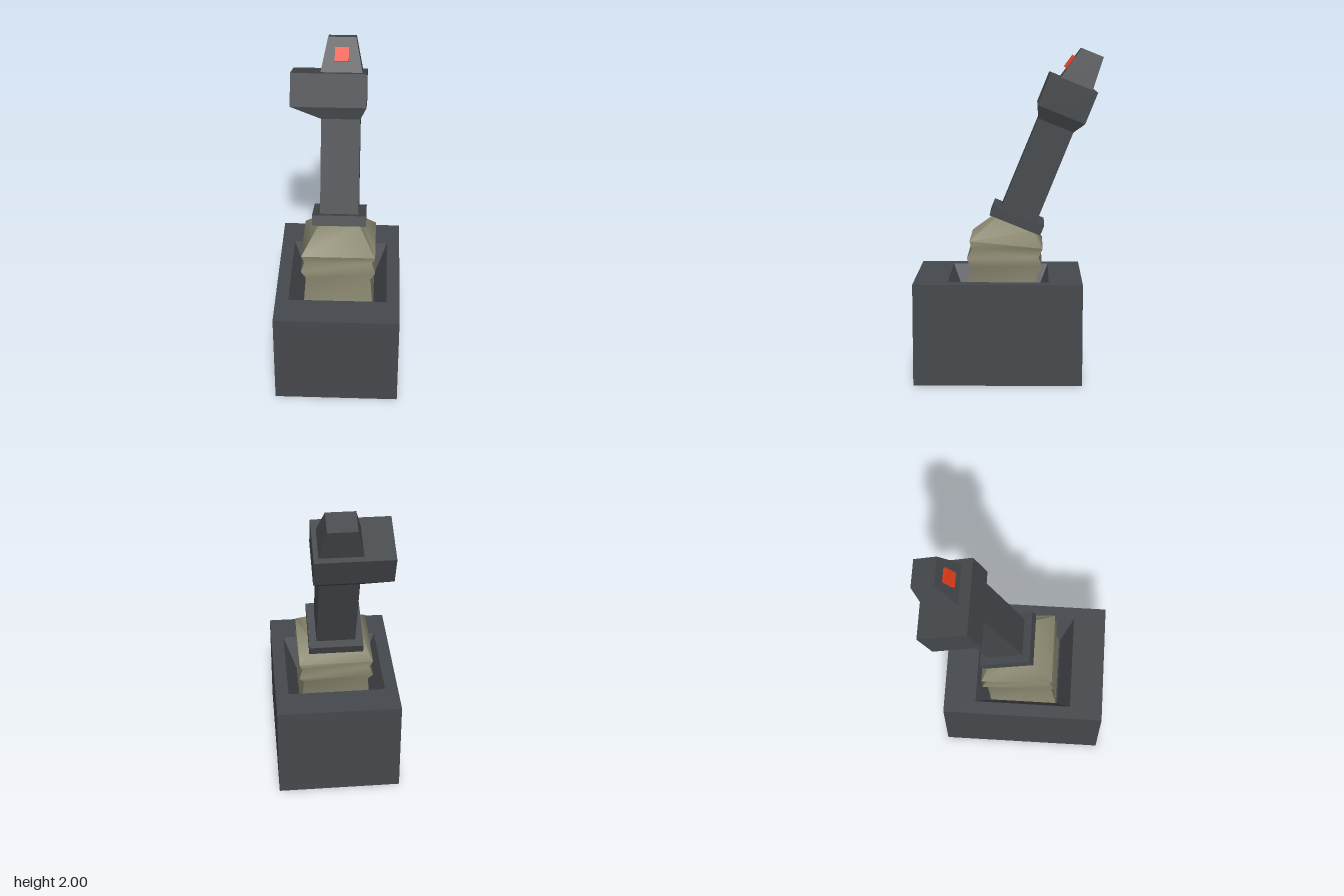
import * as THREE from 'three';
import { toCreasedNormals } from 'three/addons/utils/BufferGeometryUtils.js';

const material = (color) => new THREE.MeshStandardMaterial({ color });

// Lofts rectangular sections [x0, x1, zBack, zFront, yFront, yBack] listed from bottom to top.
function loft(sections, crease = 0.2) {
  const pos = [], idx = [];
  for (const [x0, x1, z0, z1, yf, yb = yf] of sections) {
    pos.push(x0, yf, z1, x1, yf, z1, x1, yb, z0, x0, yb, z0);
  }
  for (let s = 0; s < sections.length - 1; s++) {
    for (let i = 0; i < 4; i++) {
      const a = s * 4 + i, b = s * 4 + (i + 1) % 4;
      idx.push(a, b, b + 4, a, b + 4, a + 4);
    }
  }
  const t = (sections.length - 1) * 4;
  idx.push(0, 2, 1, 0, 3, 2, t, t + 1, t + 2, t, t + 2, t + 3);
  const geo = new THREE.BufferGeometry();
  geo.setAttribute('position', new THREE.Float32BufferAttribute(pos, 3));
  geo.setIndex(idx);
  return toCreasedNormals(geo, crease);
}

export function createModel() {
  const model = new THREE.Group();
  const dark = material(0x45484c);
  const olive = material(0x8c8a72);
  const red = material(0xe63c1c);

  const add = (parent, name, geo, mat) => {
    const mesh = new THREE.Mesh(geo, mat);
    mesh.name = name;
    parent.add(mesh);
    return mesh;
  };

  // Base block with a tapered well in its top
  add(model, 'base', loft([
    [-0.38, 0.38, -0.44, 0.57, 0],
    [-0.38, 0.38, -0.44, 0.57, 0.615],
    [-0.30, 0.30, -0.24, 0.365, 0.615],
    [-0.22, 0.22, -0.16, 0.285, 0.415],
  ]), dark);

  // Pleated boot rising out of the well and leaning with the stick
  add(model, 'boot', loft([
    [-0.22, 0.22, -0.145, 0.275, 0.415],
    [-0.20, 0.20, -0.17, 0.235, 0.685, 0.65],
    [-0.228, 0.228, -0.198, 0.253, 0.745, 0.70],
    [-0.208, 0.208, -0.178, 0.225, 0.80, 0.75],
    [-0.226, 0.226, -0.203, 0.238, 0.85, 0.805],
    [-0.12, 0.12, -0.145, 0.07, 0.985, 0.898],
  ], 1.1), olive);

  // Everything on the stick shares one tilted frame
  const stick = new THREE.Group();
  stick.name = 'stick';
  stick.position.set(0, 0.9375, -0.035);
  stick.rotation.x = THREE.MathUtils.degToRad(-22);
  model.add(stick);

  const flange = add(stick, 'flange', new THREE.BoxGeometry(0.33, 0.065, 0.33), dark);
  flange.position.y = 0.0325;

  // Shaft flaring into the lopsided head
  add(stick, 'grip', loft([
    [-0.118, 0.118, -0.116, 0.116, 0.06],
    [-0.118, 0.118, -0.116, 0.112, 0.65],
    [-0.305, 0.155, -0.16, 0.147, 0.724],
    [-0.305, 0.155, -0.16, 0.147, 0.927],
  ]), dark);

  add(stick, 'thumbHousing', loft([
    [-0.127, 0.127, -0.127, 0.08, 0.925],
    [-0.085, 0.085, -0.114, 0.028, 1.135],
  ]), dark);

  // Button on the sloping front of the housing
  const button = add(stick, 'button', new THREE.BoxGeometry(0.084, 0.088, 0.036), red);
  button.position.set(0, 1.031, 0.0545);
  button.rotation.x = -0.248;

  return model;
}
